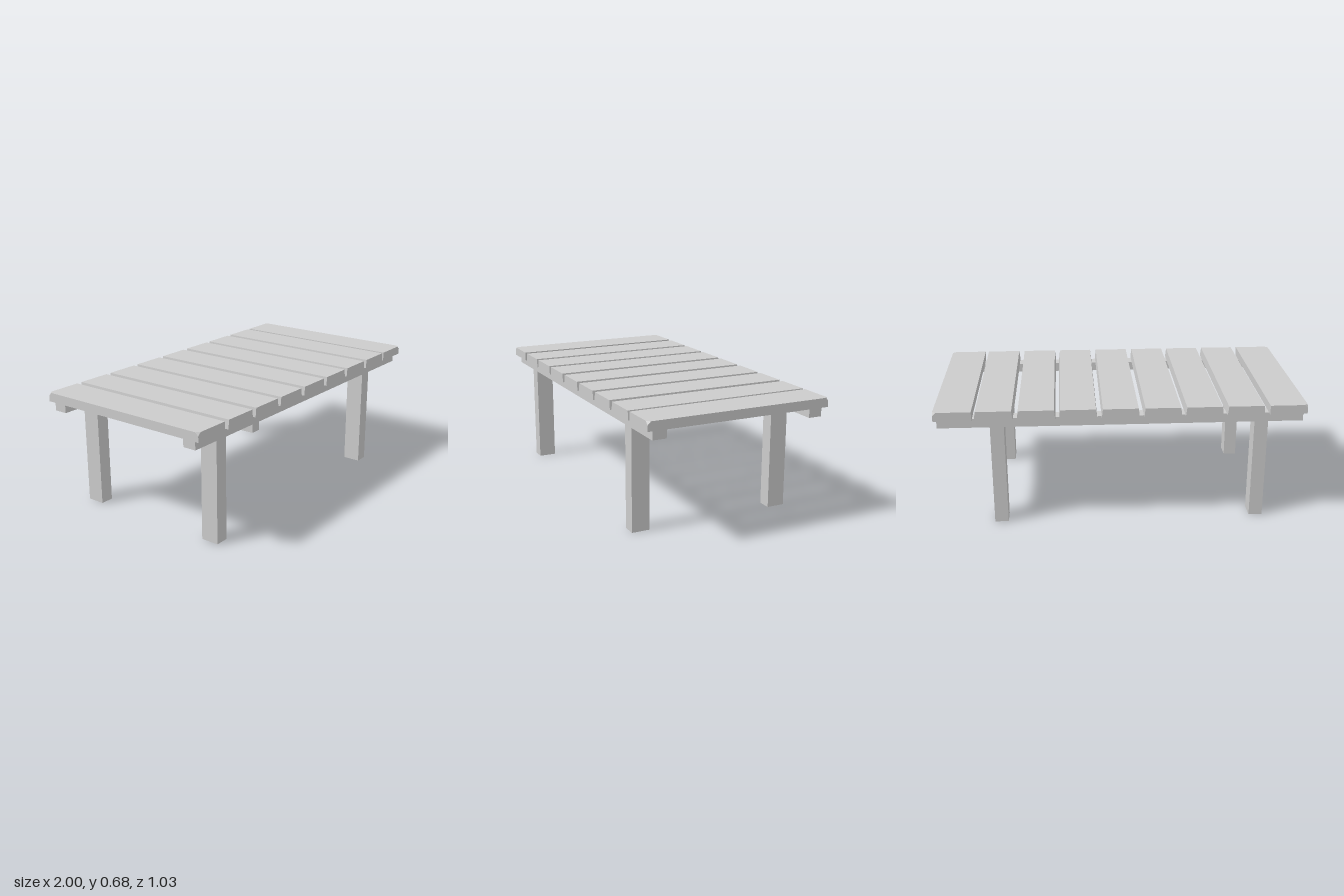
import * as THREE from 'three';
import { ConvexGeometry } from 'three/addons/geometries/ConvexGeometry.js';

const material = new THREE.MeshStandardMaterial({
  color: 0xcccccc, flatShading: true, side: THREE.DoubleSide,
});

// Board between two corners, open underneath.
// taper narrows the top; cutSide (-1 or 1) clips the two top corners on that x side.
function board(name, [x0, y0, z0], [x1, y1, z1], taper = [0, 0], cutSide = 0) {
  const points = [];
  const clip = 0.018;
  for (const sx of [-1, 1]) {
    for (const sz of [-1, 1]) {
      const x = sx < 0 ? x0 : x1, z = sz < 0 ? z0 : z1;
      const topX = sx < 0 ? x0 + taper[0] : x1 - taper[1];
      points.push(new THREE.Vector3(x, y0, z));
      if (sx === cutSide) {
        points.push(
          new THREE.Vector3(x, y1 - clip, z),
          new THREE.Vector3(x - sx * clip, y1, z),
          new THREE.Vector3(x, y1, z - sz * clip),
        );
      } else points.push(new THREE.Vector3(topX, y1, z));
    }
  }
  const hull = new ConvexGeometry(points);
  const pos = hull.attributes.position, normal = hull.attributes.normal;
  const kept = [];
  for (let i = 0; i < pos.count; i += 3) {
    if (normal.getY(i) < -0.9) continue; // leave the underside open
    for (let k = i; k < i + 3; k++) kept.push(pos.getX(k), pos.getY(k), pos.getZ(k));
  }
  const geometry = new THREE.BufferGeometry();
  geometry.setAttribute('position', new THREE.Float32BufferAttribute(kept, 3));
  geometry.computeVertexNormals();
  const mesh = new THREE.Mesh(geometry, material);
  mesh.name = name;
  return mesh;
}

export function createModel() {
  const table = new THREE.Group();
  table.name = 'slattedTable';

  // Table top: nine planks, the outer two with clipped corners
  const starts = [-1, -0.77, -0.545, -0.322, -0.095, 0.132, 0.355, 0.58, 0.797];
  const planks = new THREE.Group();
  planks.name = 'tableTop';
  starts.forEach((x, i) => {
    const cut = i === 0 ? -1 : i === 8 ? 1 : 0;
    const taper = cut ? [0, 0] : [0.006, 0.006];
    planks.add(board('plank', [x, 0.63, -0.517], [x + 0.203, 0.68, 0.517], taper, cut));
  });
  table.add(planks);

  // Long rails under the planks
  table.add(board('frontRail', [-0.985, 0.58, 0.41], [0.985, 0.63, 0.485]));
  table.add(board('backRail', [-0.985, 0.58, -0.488], [0.985, 0.63, -0.413]));

  // Cross bars joining the rails, and the legs below them
  for (const [barX, legX] of [[-0.78, -0.8], [0.63, 0.632]]) {
    table.add(board('crossBar', [barX, 0.58, -0.41], [barX + 0.075, 0.63, 0.402]));
    table.add(board('frontLeg', [legX, 0, 0.365], [legX + 0.075, 0.58, 0.466]));
    table.add(board('backLeg', [legX, 0, -0.468], [legX + 0.075, 0.58, -0.367]));
  }
  return table;
}
